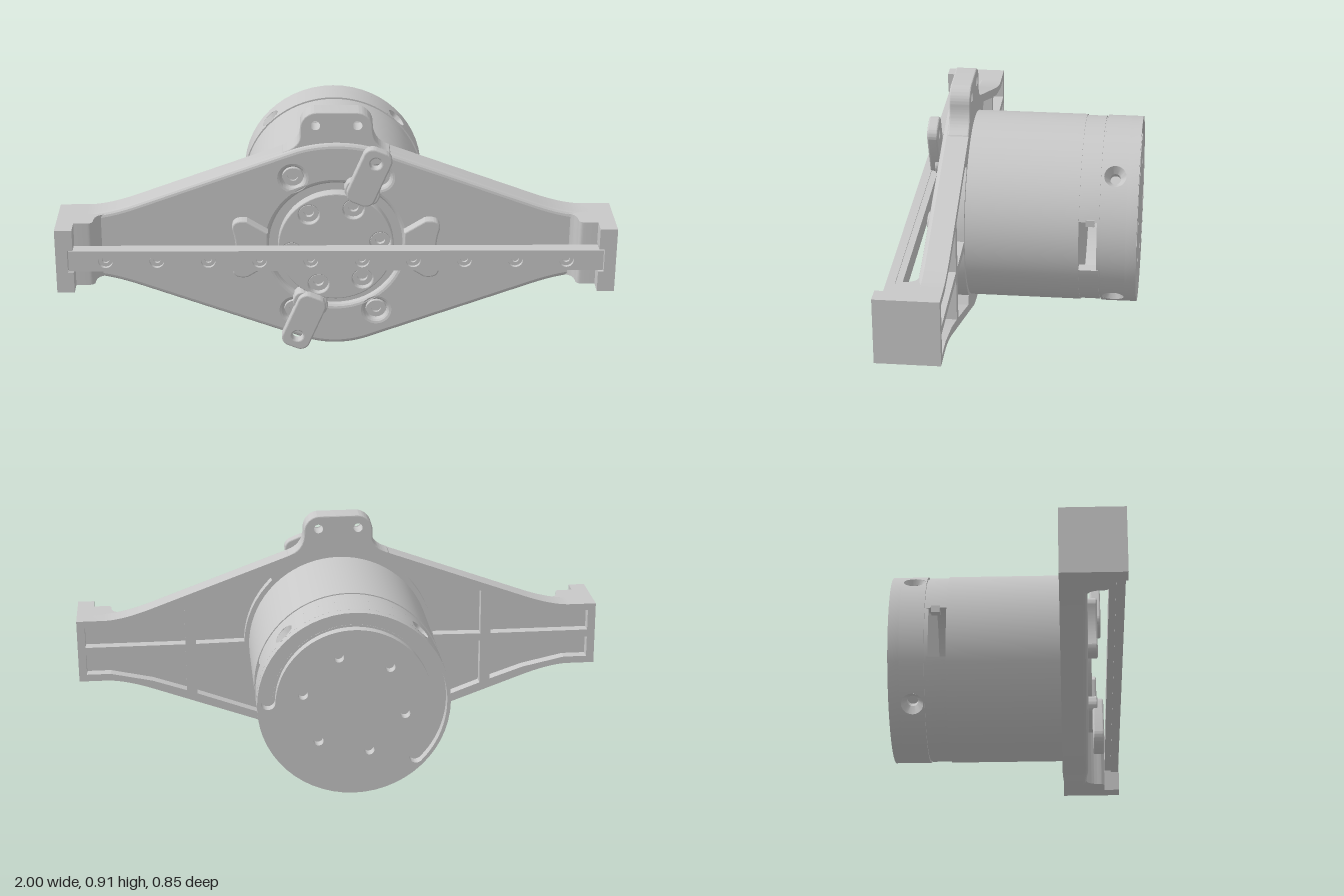
import * as THREE from 'three';
import { toCreasedNormals } from 'three/addons/utils/BufferGeometryUtils.js';

const CY = 0.405; // height of the motor axis
const R = 0.347; // motor radius
const SIGNS = [1, -1];

export function createModel() {
  const root = new THREE.Group();
  root.name = 'motorMount';
  const grey = new THREE.MeshStandardMaterial({ color: 0xc8c8c8, side: THREE.DoubleSide });
  grey.name = 'lightGrey';

  const add = (name, geo, parent = root) => {
    const m = new THREE.Mesh(geo, grey);
    m.name = name;
    parent.add(m);
    return m;
  };
  // extrude a shape between two z planes, with optional rounded edges
  const slab = (shape, z0, z1, b = 0) => {
    const g = new THREE.ExtrudeGeometry(shape, {
      depth: z1 - z0 - 2 * b, bevelEnabled: b > 0, bevelSize: b, bevelThickness: b,
      bevelOffset: -b, bevelSegments: 3, curveSegments: 28,
    });
    g.translate(0, 0, z0 + b);
    return toCreasedNormals(g, 0.2);
  };
  const circle = (x, y, r) => new THREE.Path().absarc(x, y, r, 0, Math.PI * 2, true);
  const disc = (x, y, r) => new THREE.Shape().absarc(x, y, r, 0, Math.PI * 2, false);
  const points = (list) => list.map(([x, y]) => new THREE.Vector2(x, y));
  const box = (x0, x1, y0, y1, z0, z1) =>
    new THREE.BoxGeometry(x1 - x0, y1 - y0, z1 - z0).translate((x0 + x1) / 2, (y0 + y1) / 2, (z0 + z1) / 2);
  const drum = (r, z0, z1) =>
    new THREE.CylinderGeometry(r, r, z1 - z0, 72).rotateX(Math.PI / 2).translate(0, CY, (z0 + z1) / 2);
  // stepped screw seat sunk into a hole
  const seat = (name, x, y, z, r, depth, parent) => {
    const p = points([[0, -depth * 1.8], [r * 0.5, -depth * 1.8], [r * 0.5, -depth], [r, -depth], [r, 0]]);
    const g = new THREE.LatheGeometry(p, 20).rotateX(Math.PI / 2);
    add(name, toCreasedNormals(g, 0.5), parent).position.set(x, y, z);
  };
  const roundRect = (w, h, r) => {
    const s = new THREE.Shape();
    s.absarc(w / 2 - r, h / 2 - r, r, 0, Math.PI / 2);
    s.absarc(-w / 2 + r, h / 2 - r, r, Math.PI / 2, Math.PI);
    s.absarc(-w / 2 + r, -h / 2 + r, r, Math.PI, Math.PI * 1.5);
    s.absarc(w / 2 - r, -h / 2 + r, r, Math.PI * 1.5, Math.PI * 2);
    return s;
  };

  // ---- Bracket: ribbed back, bevelled front skin ----
  const bracket = new THREE.Group();
  bracket.name = 'bracket';
  bracket.rotation.z = -0.005;
  bracket.position.x = -0.002;
  root.add(bracket);

  const outline = () => {
    const s = new THREE.Shape();
    s.moveTo(-0.14, 0.03);
    s.quadraticCurveTo(0, -0.028, 0.14, 0.03);
    s.lineTo(0.72, 0.243);
    s.quadraticCurveTo(0.83, 0.283, 0.9, 0.283);
    s.lineTo(1, 0.283);
    s.lineTo(1, 0.527);
    s.lineTo(0.9, 0.527);
    s.quadraticCurveTo(0.83, 0.527, 0.72, 0.567);
    s.lineTo(0.14, 0.78);
    s.quadraticCurveTo(0, 0.82, -0.14, 0.78);
    s.lineTo(-0.72, 0.567);
    s.quadraticCurveTo(-0.83, 0.527, -0.9, 0.527);
    s.lineTo(-1, 0.527);
    s.lineTo(-1, 0.283);
    s.lineTo(-0.9, 0.283);
    s.quadraticCurveTo(-0.83, 0.283, -0.72, 0.243);
    s.closePath();
    return s;
  };

  // pockets between the ribs, mirrored into the four quarters
  const outerPocket = [[0.59, 0.015], [0.97, 0.015], [0.97, 0.095], [0.88, 0.095], [0.72, 0.13], [0.59, 0.175]];
  const innerPocket = [[0.55, 0.015], [0.55, 0.19], [0.27, 0.295]];
  for (let i = 0; i <= 8; i++) {
    const a = (46 - i * 5.4) * Math.PI / 180;
    innerPocket.push([0.365 * Math.cos(a), 0.365 * Math.sin(a)]);
  }
  const ribs = outline();
  for (const sx of SIGNS) for (const sy of SIGNS) for (const p of [outerPocket, innerPocket])
    ribs.holes.push(new THREE.Path(points(p.map(([x, y]) => [sx * x, CY + sy * y]))));
  add('ribs', slab(ribs, 0.195, 0.26), bracket);

  const screws = [[-0.155, 0.67], [0.155, 0.67], [0.15, 0.14], [-0.15, 0.14]];
  const skin = outline();
  skin.holes.push(circle(0, CY, 0.243));
  for (const [x, y] of screws) {
    skin.holes.push(circle(x, y, 0.04));
    seat('plateScrew', x, y, 0.287, 0.038, 0.018, bracket);
  }
  add('frontSkin', slab(skin, 0.235, 0.29, 0.016), bracket);

  // top ear with two holes
  const ear = new THREE.Shape();
  ear.moveTo(-0.22, 0.72);
  ear.lineTo(-0.19, 0.765);
  ear.quadraticCurveTo(-0.13, 0.785, -0.13, 0.83);
  ear.absarc(-0.07, 0.855, 0.06, Math.PI, Math.PI / 2, true);
  ear.absarc(0.07, 0.855, 0.06, Math.PI / 2, 0, true);
  ear.quadraticCurveTo(0.13, 0.785, 0.19, 0.765);
  ear.lineTo(0.22, 0.72);
  for (const s of SIGNS) ear.holes.push(circle(s * 0.075, 0.865, 0.022));
  add('topEar', slab(ear, 0.195, 0.272, 0.005), bracket);

  // end blocks holding the rail, the second one turned half way round
  const prof = new THREE.Shape();
  prof.moveTo(1, 0.195);
  prof.lineTo(1, 0.423);
  prof.lineTo(0.958, 0.423);
  prof.lineTo(0.958, 0.362);
  prof.lineTo(0.89, 0.362);
  prof.quadraticCurveTo(0.87, 0.362, 0.87, 0.34);
  prof.quadraticCurveTo(0.87, 0.29, 0.83, 0.285);
  prof.lineTo(0.83, 0.27);
  prof.lineTo(0.97, 0.27);
  prof.lineTo(0.97, 0.195);
  for (const s of SIGNS) {
    const block = new THREE.Group();
    block.name = s > 0 ? 'leftEndBlock' : 'rightEndBlock';
    if (s < 0) {
      block.rotation.z = Math.PI;
      block.position.y = 2 * CY;
    }
    bracket.add(block);
    add('endWall', slab(prof, 0, 0.244).rotateX(Math.PI / 2).translate(0, 0.527, 0), block);
    for (const [y0, y1] of [[0.283, 0.362], [0.448, 0.527]])
      add('endLip', box(0.938, 0.96, y0, y1, 0.3, 0.423), block);
  }

  // front rail with ten screw seats
  const rail = new THREE.Shape(points([[-0.955, 0.366], [0.955, 0.366], [0.955, 0.444], [-0.955, 0.444]]));
  for (let i = 0; i < 10; i++) {
    const x = (i - 4.5) * 0.183;
    rail.holes.push(circle(x, CY, 0.026));
    seat('railScrew', x, CY, 0.419, 0.026, 0.012, bracket);
  }
  add('railFront', slab(rail, 0.388, 0.42), bracket);
  add('railBase', box(-0.94, 0.94, 0.37, 0.44, 0.364, 0.388), bracket);

  // side pads beside the hub
  for (const s of SIGNS) {
    const pad = new THREE.Shape();
    pad.moveTo(s * 0.245, 0.34);
    pad.lineTo(s * 0.32, 0.293);
    pad.quadraticCurveTo(s * 0.375, 0.285, s * 0.375, 0.325);
    pad.quadraticCurveTo(s * 0.35, CY, s * 0.375, 0.485);
    pad.quadraticCurveTo(s * 0.375, 0.525, s * 0.32, 0.517);
    pad.lineTo(s * 0.245, 0.47);
    pad.closePath();
    add('sidePad', slab(pad, 0.27, 0.327, 0.006), bracket);
  }

  // ---- Rotating hub with two arms ----
  add('hubSeat', drum(0.25, 0.19, 0.265));
  const hub = disc(0, CY, 0.21);
  for (let i = 0; i < 6; i++) {
    const a = (7 + i * 60) * Math.PI / 180;
    const x = 0.162 * Math.cos(a), y = CY + 0.162 * Math.sin(a);
    hub.holes.push(circle(x, y, 0.037));
    seat('hubScrew', x, y, 0.305, 0.037, 0.02, root);
  }
  add('hub', slab(hub, 0.26, 0.306, 0.004));
  for (const s of SIGNS) {
    const arm = roundRect(0.108, 0.22, 0.036);
    arm.holes.push(circle(0, s * 0.06, 0.02));
    const tilt = -0.4;
    const m = add('hubArm', slab(arm, 0.307, 0.346, 0.006));
    m.position.set(s * 0.118, CY + s * 0.287, 0);
    m.rotation.z = tilt;
    const neck = add('armNeck', slab(roundRect(0.13, 0.07, 0.03), 0.27, 0.325, 0.005));
    neck.position.set(s * 0.094, CY + s * 0.222, 0);
    neck.rotation.z = tilt;
  }

  // ---- Motor ----
  add('motorBody', drum(R, -0.216, 0.196));
  // collar halves leave a window with level edges on each side
  const ro = 0.343, ri = 0.3, edge = 0.0975;
  for (const s of SIGNS) {
    const ao = Math.asin(edge / ro), ai = Math.asin(edge / ri);
    const c = new THREE.Shape();
    c.absarc(0, 0, ro, s * ao, s * (Math.PI - ao), s < 0);
    c.absarc(0, 0, ri, s * (Math.PI - ai), s * ai, s > 0);
    add('collar', slab(c, -0.289, -0.216)).position.y = CY;
    add('windowTab', box(s * 0.315 - 0.015, s * 0.315 + 0.015, 0.485, 0.51, -0.272, -0.24));
  }
  add('collarFloor', drum(0.338, -0.297, -0.281));

  // rear cap: wall with four countersunk radial holes
  const capMid = -0.34, half = 9 * Math.PI / 180, capH = 0.09;
  add('capCore', drum(0.29, -0.39, -0.296));
  add('capFront', new THREE.RingGeometry(0.28, R, 72).translate(0, CY, -0.295));
  // wrap a flat sheet around the cap at angle a
  const wrap = (geo, a) => {
    const p = geo.attributes.position, n = geo.attributes.normal;
    for (let k = 0; k < p.count; k++) {
      const t = a + p.getX(k) / R, c = Math.cos(t), d = Math.sin(t);
      p.setXYZ(k, R * c, CY + R * d, capMid + p.getY(k));
      n.setXYZ(k, c, d, 0);
    }
    return geo;
  };
  const w = R * half, rim = [];
  for (let k = -3; k <= 3; k++) rim.push([k * w / 3, -capH / 2]);
  for (let k = 3; k >= -3; k--) rim.push([k * w / 3, capH / 2]);
  for (let i = 0; i < 4; i++) {
    const a = Math.PI / 4 + i * Math.PI / 2;
    const patch = new THREE.Shape(points(rim));
    patch.holes.push(circle(0, 0, 0.04));
    add('capHolePatch', wrap(new THREE.ShapeGeometry(patch, 24), a));
    add('capWall', wrap(new THREE.PlaneGeometry(R * (Math.PI / 2 - 2 * half), capH, 16, 1), a + Math.PI / 4));
    const cone = new THREE.LatheGeometry(points([[0, 0.292], [0.02, 0.292], [0.02, 0.315], [0.04, 0.3455]]), 24);
    add('capCountersink', toCreasedNormals(cone.rotateZ(a - Math.PI / 2), 0.5)).position.set(0, CY, capMid);
  }

  // rear face with a curved slot and screw holes
  const face = disc(0, 0, R);
  const slot = new THREE.Path();
  const s0 = 0.05, s1 = Math.PI * 1.24, rm = 0.308, rw = 0.026;
  slot.absarc(0, 0, rm + rw, s0, s1, false);
  slot.absarc(rm * Math.cos(s1), rm * Math.sin(s1), rw, s1, s1 + Math.PI, false);
  slot.absarc(0, 0, rm - rw, s1, s0, true);
  slot.absarc(rm * Math.cos(s0), rm * Math.sin(s0), rw, s0 + Math.PI, s0 + Math.PI * 2, false);
  face.holes.push(slot);
  for (let i = 0; i < 6; i++) {
    const a = (73 + i * 60) * Math.PI / 180;
    face.holes.push(circle(0.188 * Math.cos(a), 0.188 * Math.sin(a), 0.018));
  }
  add('rearFace', slab(face, -0.425, -0.385)).position.y = CY;
  add('slotFloor', drum(0.34, -0.389, -0.384));
  return root;
}
